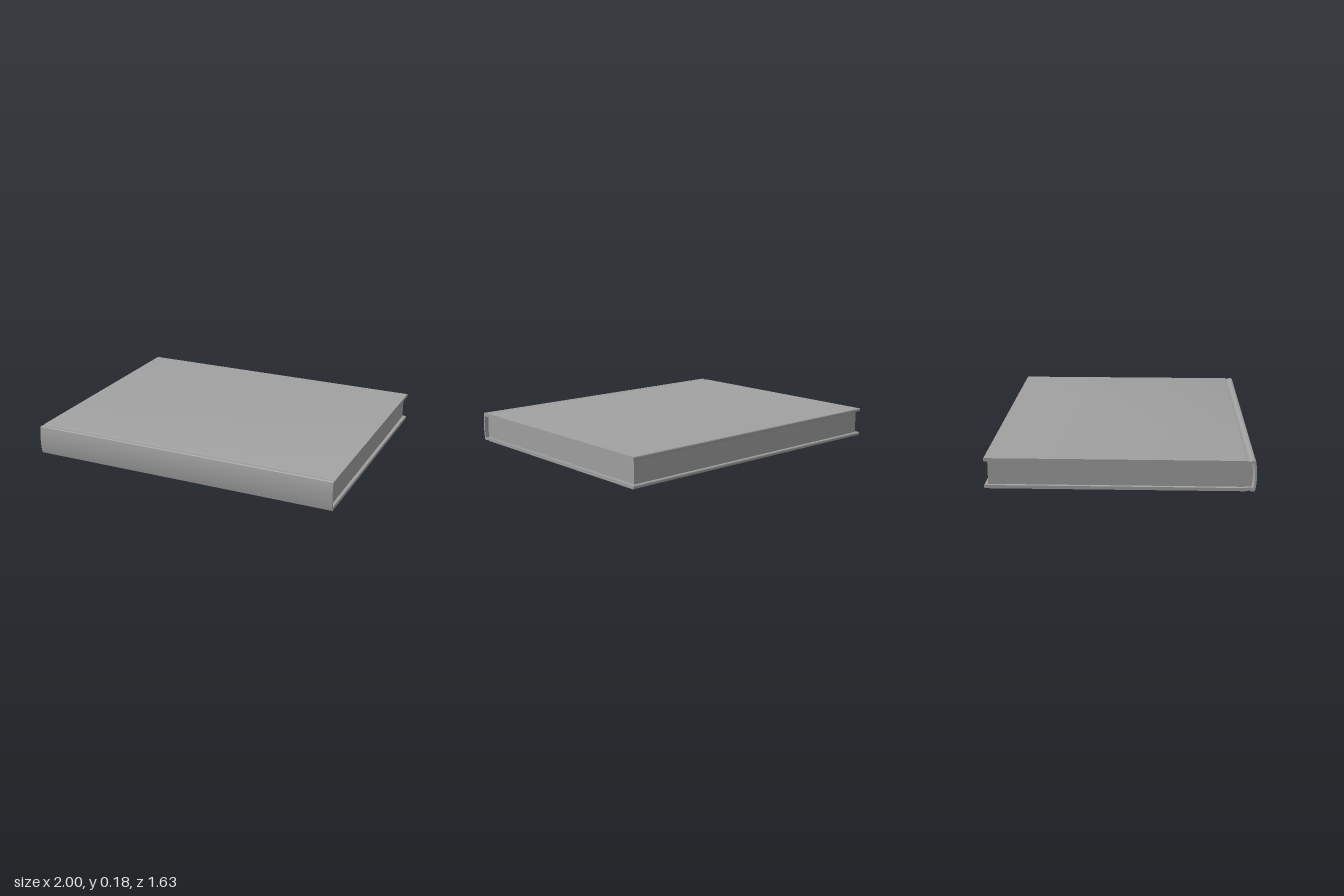
import * as THREE from 'three';
import { toCreasedNormals } from 'three/addons/utils/BufferGeometryUtils.js';

const WIDTH = 1.908, MID = 0.0885;
const material = new THREE.MeshStandardMaterial({ color: 0xa1a1a1 });

// Extrudes a closed (z, y) outline along x, centred on x = 0
function extrudeAlongX(points, width, name) {
  const shape = new THREE.Shape(points.map(([z, y]) => new THREE.Vector2(z, y)));
  let geometry = new THREE.ExtrudeGeometry(shape, { depth: width, bevelEnabled: false });
  geometry.rotateY(-Math.PI / 2);
  geometry.translate(width / 2, 0, 0);
  geometry = toCreasedNormals(geometry, 0.75);
  const mesh = new THREE.Mesh(geometry, material);
  mesh.name = name;
  return mesh;
}

const flip = (points) => points.map(([z, y]) => [z, -y]).reverse();

export function createModel() {
  const book = new THREE.Group();
  book.name = 'book';

  // Upper half of the case: fore edge, hinge groove, rounded spine
  const outer = [
    [-0.758, 0.0735], [-0.758, 0.0845], [-0.754, 0.0885], [0.698, 0.0885],
    [0.706, 0.0865], [0.715, 0.084], [0.724, 0.0855], [0.732, 0.0885],
    [0.746, 0.0885], [0.751, 0.0855], [0.755, 0.065], [0.7585, 0.033],
  ];
  const inner = [
    [0.7475, 0.033], [0.744, 0.06], [0.74, 0.072], [0.732, 0.0705],
    [0.723, 0.067], [0.715, 0.065], [0.706, 0.0665], [0.698, 0.0695],
    [-0.754, 0.0695],
  ];
  const coverOutline = [
    ...outer, [0.76, 0], ...flip(outer),
    ...flip(inner), [0.7485, 0], ...inner,
  ];
  book.add(extrudeAlongX(coverOutline, WIDTH, 'cover'));

  // Page block, set in from the cover and bedded slightly into the boards
  const pageEdge = [[-0.738, 0.071], [0.7, 0.071], [0.715, 0.0665], [0.732, 0.066], [0.737, 0.04]];
  const pageOutline = [...pageEdge, [0.739, 0], ...flip(pageEdge)];
  book.add(extrudeAlongX(pageOutline, WIDTH - 0.04, 'pages'));

  // The book lies slightly turned
  book.position.y = MID;
  book.rotation.y = 0.06;

  const model = new THREE.Group();
  model.add(book);
  return model;
}
